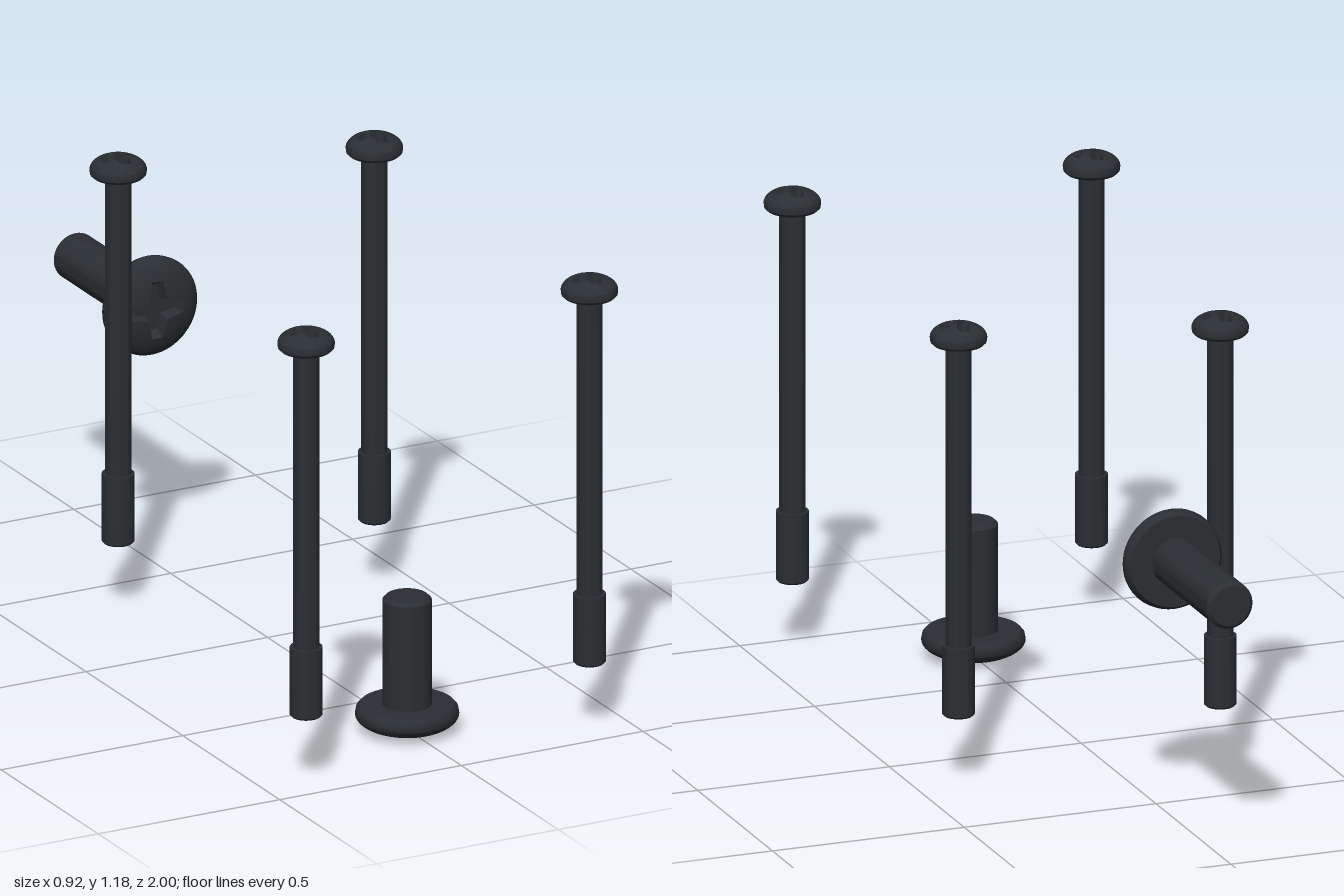
import * as THREE from 'three';
import { toCreasedNormals } from 'three/addons/utils/BufferGeometryUtils.js';

const material = new THREE.MeshStandardMaterial({ color: 0x2a2f33 });

// Closed cross outline: arm reach, half-width at the tip, flared inner corner.
function crossOutline(reach, width, inner) {
  const corners = [];
  for (let arm = 0; arm < 4; arm++) {
    for (const [x, y] of [[reach, -width], [reach, width], [inner, inner]]) {
      corners.push(new THREE.Vector2(x, y).rotateAround(new THREE.Vector2(), arm * Math.PI / 2));
    }
  }
  const points = [];
  corners.forEach((a, i) => {
    const b = corners[(i + 1) % corners.length];
    const steps = i % 3 === 0 ? 4 : 6;
    for (let s = 0; s < steps; s++) points.push(a.clone().lerp(b, s / steps));
  });
  return points;
}

// Domed head with a cross recess, top at y = 0: each column runs from the
// recess centre up its wall, over the dome and under the rim.
function headGeometry({ radius, dome, height, under, cross, depth }) {
  const domeY = r => -dome * (1 - Math.sqrt(Math.max(0, 1 - (r / radius) ** 2)));
  const columns = crossOutline(...cross).map(p => {
    const r0 = p.length(), c = p.x / r0, s = p.y / r0;
    const profile = [[0, -depth], [r0 * 0.8, -depth]];
    for (let i = 0; i <= 10; i++) {
      const r = r0 + (radius - r0) * Math.sin(i / 10 * Math.PI / 2);
      profile.push([r, domeY(r)]);
    }
    profile.push([radius * 0.98, -dome - (height - dome) * 0.6], [under, -height], [0, -height]);
    return profile.map(([r, y]) => [r * c, y, r * s]);
  });
  const rows = columns[0].length, positions = [];
  columns.forEach((a, j) => {
    const b = columns[(j + 1) % columns.length];
    for (let i = 0; i < rows - 1; i++) {
      if (i > 0) positions.push(...a[i], ...b[i], ...a[i + 1]);
      if (i < rows - 2) positions.push(...b[i], ...b[i + 1], ...a[i + 1]);
    }
    // The centre triangle of the recess floor
    if (j === 0) return;
  });
  const geometry = new THREE.BufferGeometry();
  geometry.setAttribute('position', new THREE.Float32BufferAttribute(positions, 3));
  return toCreasedNormals(geometry, 0.6);
}

// Round rod from yTop down to yEnd with a chamfered tip.
function rodGeometry(radius, yTop, yEnd, chamfer) {
  const profile = [
    [0, yEnd], [radius - chamfer, yEnd], [radius, yEnd + chamfer], [radius, yTop], [0, yTop],
  ].map(([x, y]) => new THREE.Vector2(x, y));
  return toCreasedNormals(new THREE.LatheGeometry(profile, 40), 0.6);
}

function addPart(group, name, geometry) {
  const mesh = new THREE.Mesh(geometry, material);
  mesh.name = name;
  group.add(mesh);
}

// Slim screw with a thicker threaded end
function longScrew() {
  const screw = new THREE.Group();
  addPart(screw, 'head', headGeometry({
    radius: 0.07, dome: 0.037, height: 0.055, under: 0.061,
    cross: [0.046, 0.013, 0.018], depth: 0.03,
  }));
  addPart(screw, 'shank', rodGeometry(0.032, -0.05, -0.84, 0.002));
  addPart(screw, 'threadedEnd', rodGeometry(0.04, -0.825, -1.005, 0.005));
  return screw;
}

// Stout screw with a wide head
function shortScrew(length) {
  const screw = new THREE.Group();
  addPart(screw, 'head', headGeometry({
    radius: 0.127, dome: 0.046, height: 0.07, under: 0.116,
    cross: [0.073, 0.015, 0.025], depth: 0.035,
  }));
  addPart(screw, 'shank', rodGeometry(0.06, -0.06, -length, 0.009));
  return screw;
}

export function createModel() {
  const model = new THREE.Group();
  model.name = 'screwSet';

  // Four upright long screws
  const spots = [[-0.39, 0.93], [0.39, 0.93], [0.39, -0.18], [-0.23, -0.34]];
  spots.forEach(([x, z], i) => {
    const screw = longScrew();
    screw.name = 'longScrew' + (i + 1);
    screw.position.set(x, 1.185, z);
    model.add(screw);
  });

  // Short screw standing head down
  const lower = shortScrew(0.35);
  lower.name = 'lowerShortScrew';
  lower.rotation.x = Math.PI;
  lower.position.set(0, 0.003, 0.72);
  model.add(lower);

  // Short screw lying level with its head to the front
  const rear = shortScrew(0.44);
  rear.name = 'rearShortScrew';
  rear.rotation.x = Math.PI / 2;
  rear.position.set(0, 0.665, -0.56);
  model.add(rear);

  return model;
}
